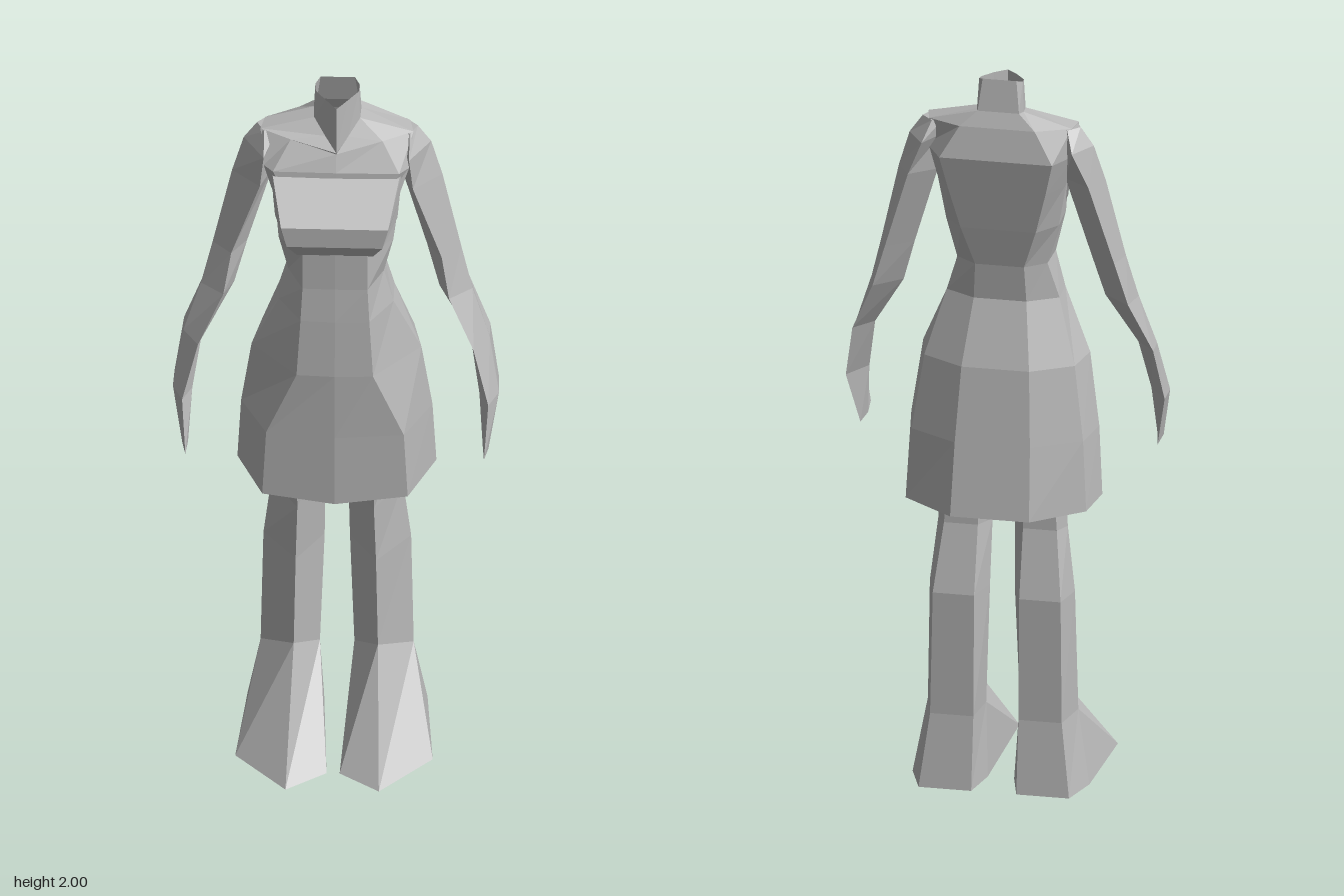
import * as THREE from 'three';

const skin = new THREE.MeshStandardMaterial({ color: 0xb8b8b8, flatShading: true, side: THREE.DoubleSide });
skin.name = 'plain grey';

// Joins rings of [x, y, z] points, listed bottom up and counter-clockwise from above.
function loft(name, rings, { mirror = false, bottom = false, top = false } = {}) {
  if (mirror) rings = rings.map(r => r.map(([x, y, z]) => [-x, y, z]).reverse());
  const pos = [];
  const same = (p, q) => p.every((v, i) => v === q[i]);
  const tri = (a, b, c) => {
    if (!same(a, b) && !same(b, c) && !same(c, a)) pos.push(...a, ...b, ...c);
  };
  const n = rings[0].length;
  for (let k = 0; k < rings.length - 1; k++) {
    const lo = rings[k], hi = rings[k + 1];
    for (let i = 0; i < n; i++) {
      const j = (i + 1) % n;
      tri(lo[i], lo[j], hi[j]);
      tri(lo[i], hi[j], hi[i]);
    }
  }
  const first = rings[0], last = rings[rings.length - 1];
  for (let i = 1; i < n - 1; i++) {
    if (bottom) tri(first[0], first[i + 1], first[i]);
    if (top) tri(last[0], last[i], last[i + 1]);
  }
  const geo = new THREE.BufferGeometry();
  geo.setAttribute('position', new THREE.Float32BufferAttribute(pos, 3));
  geo.computeVertexNormals();
  const mesh = new THREE.Mesh(geo, skin);
  mesh.name = name;
  return mesh;
}

// Completes a half ring that starts on the front centre line.
const whole = half => [...half, ...half.slice(1).reverse().map(([x, y, z]) => [-x, y, z])];

// A half ring at one height: pairs of x, z.
const level = (y, ...xz) => xz.map(([x, z]) => [x, y, z]);

export function createModel() {
  const group = new THREE.Group();
  group.name = 'figure';

  // Skirt, open at the hem
  const waist = level(1.37, [0, 0.08], [0.09, 0.075], [0.15, -0.02], [0.15, -0.1], [0.07, -0.143]);
  group.add(loft('skirt', [
    [[0, 0.785, 0.09], [0.19, 0.8, 0.07], [0.26, 0.81, -0.08], [0.24, 0.81, -0.2], [0.105, 0.805, -0.288]],
    level(1.0, [0, 0.09], [0.18, 0.07], [0.25, -0.07], [0.228, -0.18], [0.1, -0.25]),
    level(1.2, [0, 0.09], [0.1, 0.085], [0.222, -0.05], [0.2, -0.15], [0.09, -0.21]),
    waist,
  ].map(whole)));

  // Torso up to the shoulders
  const collar = [[0, 1.835, -0.032], [0.12, 1.86, -0.06], [0.2, 1.872, -0.09], [0.19, 1.872, -0.14], [0.1, 1.875, -0.185]];
  group.add(loft('torso', [
    waist,
    level(1.47, [0, 0.07], [0.085, 0.068], [0.125, -0.02], [0.12, -0.11], [0.065, -0.15]),
    level(1.58, [0, 0.07], [0.085, 0.065], [0.15, -0.01], [0.15, -0.11], [0.1, -0.17]),
    level(1.7, [0, 0], [0.12, 0], [0.16, -0.02], [0.17, -0.12], [0.13, -0.19]),
    level(1.79, [0, -0.01], [0.165, -0.012], [0.19, -0.04], [0.2, -0.12], [0.15, -0.205]),
    collar,
  ].map(whole)));

  // Neck, open at the top
  group.add(loft('neck', [
    collar,
    [[0, 1.84, -0.03], [0.03, 1.87, -0.065], [0.06, 1.905, -0.1], [0.062, 1.91, -0.14], [0.055, 1.915, -0.167]],
    [[0, 1.98, -0.035], [0.03, 1.985, -0.07], [0.056, 1.987, -0.105], [0.058, 1.992, -0.13], [0.045, 2, -0.15]],
  ].map(whole)));

  // Bust: rows of height, front half width, front depth, back half width
  group.add(loft('bust', [
    [1.583, 0.1, 0.072, 0.14], [1.635, 0.125, 0.108, 0.16],
    [1.695, 0.14, 0.108, 0.165], [1.775, 0.165, -0.01, 0.17],
  ].map(([y, w, z, b]) => [[-w, y, z], [w, y, z], [b, y, -0.03], [-b, y, -0.03]]), { bottom: true, top: true }));

  // Arm rings: front, outer, back, inner
  const arm = [
    [[0.39, 0.945, 0.098], [0.4, 0.94, 0.04], [0.395, 0.935, -0.02], [0.385, 0.94, 0.035]],
    level(1.09, [0.4, 0.055], [0.426, -0.005], [0.424, -0.072], [0.375, 0]),
    level(1.24, [0.36, 0.015], [0.4, -0.05], [0.4, -0.106], [0.35, -0.05]),
    level(1.38, [0.295, -0.02], [0.355, -0.07], [0.34, -0.14], [0.268, -0.08]),
    level(1.5, [0.275, -0.04], [0.325, -0.09], [0.305, -0.15], [0.235, -0.1]),
    level(1.72, [0.2, -0.04], [0.275, -0.11], [0.24, -0.17], [0.17, -0.12]),
    level(1.82, [0.19, -0.03], [0.245, -0.12], [0.2, -0.19], [0.16, -0.12]),
    level(1.87, [0.19, -0.08], [0.21, -0.12], [0.18, -0.15], [0.15, -0.12]),
  ];

  // Leg rings: front ridge, outer side, outer back, inner back, inner side
  const leg = [
    [[0.11, 0.265, 0.005], [0.2, 0.2, -0.1], [0.175, 0.2, -0.2], [0.06, 0.2, -0.2], [0.045, 0.2, -0.1]],
    level(0.54, [0.105, 0.005], [0.193, -0.11], [0.17, -0.19], [0.06, -0.19], [0.033, -0.11]),
    level(0.72, [0.1, 0.02], [0.172, -0.1], [0.15, -0.138], [0.06, -0.138], [0.03, -0.09]),
    level(0.86, [0.1, 0.06], [0.165, -0.09], [0.14, -0.13], [0.06, -0.13], [0.025, -0.08]),
  ];

  // Foot: the two toe corners rise to the ankle sides
  const [front, outer, backOuter, backInner, inner] = leg[0];
  const foot = [
    level(0, [0.122, 0.29], [0.258, 0.145], [0.235, -0.13], [0.2, -0.23], [0.06, -0.23], [0.035, -0.13], [0.017, 0.215]),
    [front, outer, outer, backOuter, backInner, inner, inner],
  ];

  for (const mirror of [false, true]) {
    const side = mirror ? 'right' : 'left';
    group.add(
      loft(side + 'Arm', arm, { mirror, bottom: true, top: true }),
      loft(side + 'Leg', leg, { mirror }),
      loft(side + 'Foot', foot, { mirror, bottom: true }),
    );
  }
  return group;
}
